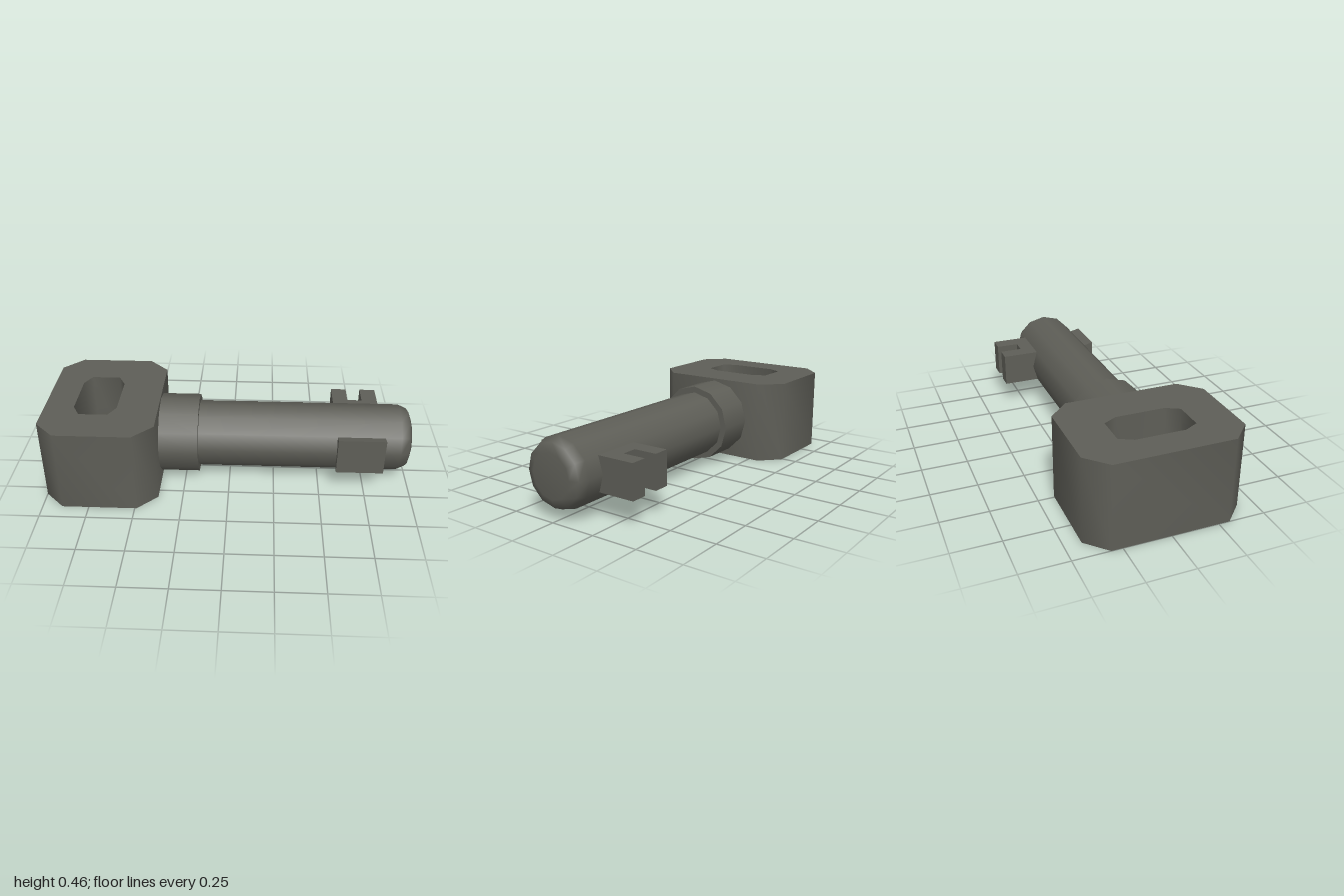
import * as THREE from 'three';
import { toCreasedNormals } from 'three/addons/utils/BufferGeometryUtils.js';

const AXIS_Y = 0.23;

function polygon(points, Type = THREE.Shape) {
  return new Type(points.map(([x, y]) => new THREE.Vector2(x, y)));
}

// Rectangle with cut corners, centred on (cx, 0)
function cutRect(cx, hw, hh, cutX, cutY) {
  return [
    [cx - hw + cutX, -hh], [cx + hw - cutX, -hh], [cx + hw, -hh + cutY], [cx + hw, hh - cutY],
    [cx + hw - cutX, hh], [cx - hw + cutX, hh], [cx - hw, hh - cutY], [cx - hw, -hh + cutY],
  ];
}

function extrude(shape, depth) {
  return new THREE.ExtrudeGeometry(shape, { depth, bevelEnabled: false });
}

export function createModel() {
  const group = new THREE.Group();
  const iron = new THREE.MeshStandardMaterial({ color: 0x5e5e57 });
  iron.name = 'dark iron';

  const add = (name, geometry) => {
    const mesh = new THREE.Mesh(geometry, iron);
    mesh.name = name;
    group.add(mesh);
    return mesh;
  };

  // Octagonal bow with a vertical slot, softened round its corners
  const bow = polygon(cutRect(-0.692, 0.308, 0.413, 0.106, 0.105));
  bow.holes.push(polygon(cutRect(-0.724, 0.116, 0.202, 0.038, 0.072).reverse(), THREE.Path));
  add('bow', toCreasedNormals(extrude(bow, 0.46).rotateX(-Math.PI / 2), 1.2));

  // Collar joining bow and shaft
  const collar = new THREE.CylinderGeometry(0.218, 0.218, 0.235, 12).rotateZ(-Math.PI / 2);
  add('collar', collar).position.set(-0.2875, AXIS_Y, 0);

  // Twelve-sided shaft with a rounded tip
  const profile = [[0.183, -0.2], [0.183, 0.935], [0.162, 0.982], [0.115, 1], [0, 1]];
  const shaft = new THREE.LatheGeometry(profile.map(([r, x]) => new THREE.Vector2(r, x)), 12);
  add('shaft', shaft.rotateZ(-Math.PI / 2)).position.y = AXIS_Y;

  // Notched bit at the back
  const bit = polygon([
    [0.588, 0.1], [0.845, 0.1], [0.845, 0.362], [0.757, 0.362],
    [0.757, 0.237], [0.674, 0.237], [0.674, 0.362], [0.588, 0.362],
  ]);
  add('bit', extrude(bit, 0.183).rotateX(-Math.PI / 2)).position.y = 0.14;

  // Flared pad at the front
  const pad = polygon([[-0.212, 0.128], [-0.15, 0.142], [-0.15, 0.32], [-0.212, 0.334]]);
  add('pad', extrude(pad, 0.257).rotateY(Math.PI / 2)).position.x = 0.588;

  return group;
}
